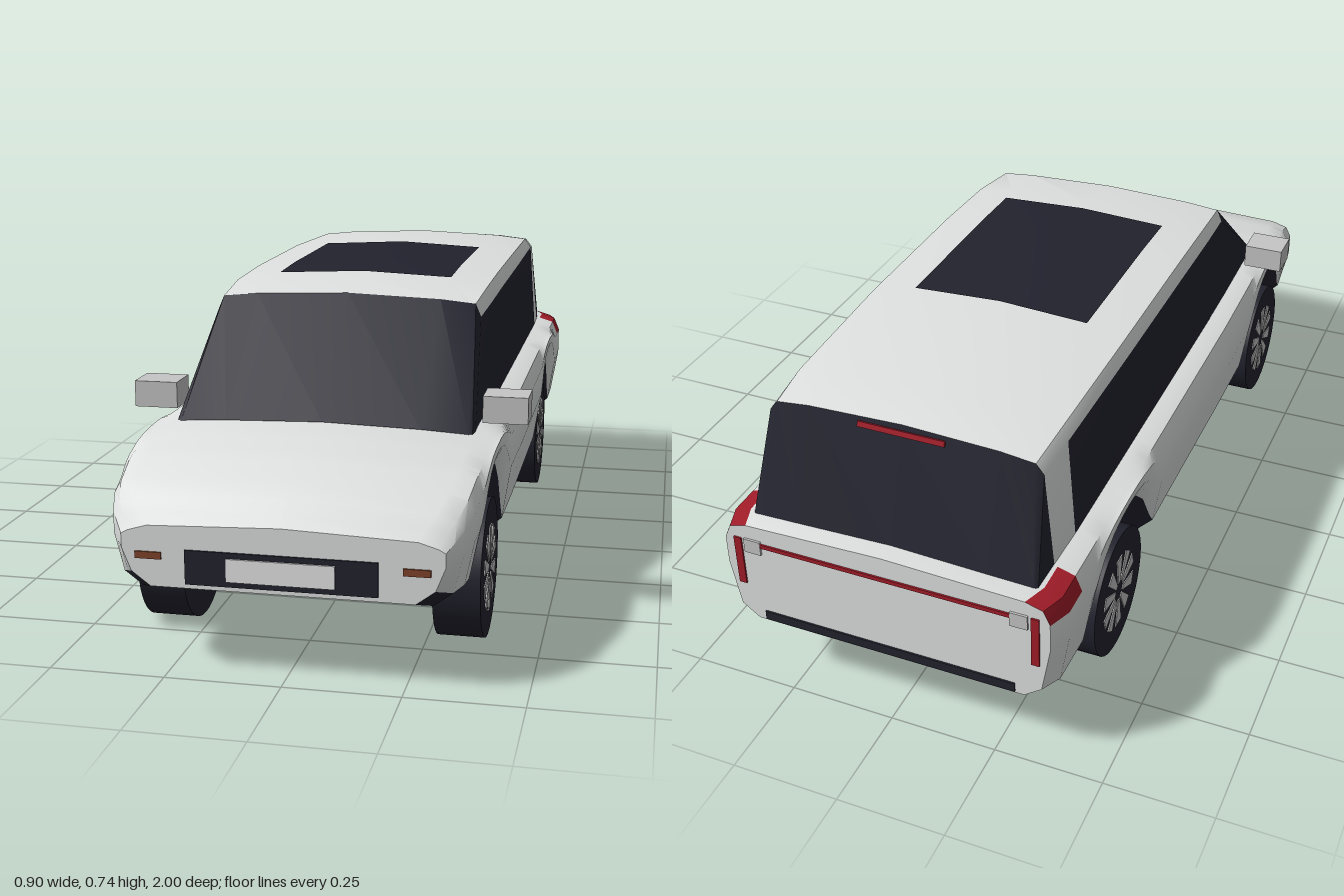
import * as THREE from 'three';
import { toCreasedNormals } from 'three/addons/utils/BufferGeometryUtils.js';

const make = (name, color) => {
  const m = new THREE.MeshStandardMaterial({ color });
  m.name = name;
  return m;
};

// Piecewise linear lookup; table rows are [key, value] with falling keys, clamped at the ends
function lookup(table, k) {
  if (k >= table[0][0]) return table[0][1];
  for (let i = 1; i < table.length; i++) {
    const [k0, v0] = table[i - 1], [k1, v1] = table[i];
    if (k >= k1) return v1 + (v0 - v1) * (k - k1) / (k0 - k1);
  }
  return table[table.length - 1][1];
}

// Mirrors a right-hand half section [x, y] across x = 0
const mirrored = (half, closed) => {
  const rest = half.slice(closed ? 1 : 0, -1).reverse().map(([x, y]) => [-x, y]);
  return [...half, ...rest];
};

// Skins sections running from front to rear; pick(i, j) gives the material index of a quad
function loft(sections, closed, materials, pick, capMaterial = -1) {
  const buckets = materials.map(() => []);
  const n = sections[0].ring.length;
  const at = (i, j) => [...sections[i].ring[j % n], sections[i].z];
  for (let i = 0; i + 1 < sections.length; i++) {
    for (let j = 0; j < (closed ? n : n - 1); j++) {
      const a = at(i, j), b = at(i, j + 1), c = at(i + 1, j + 1), d = at(i + 1, j);
      buckets[pick(i, j)].push(...a, ...d, ...c, ...a, ...c, ...b);
    }
  }
  if (capMaterial >= 0) {
    for (const i of [0, sections.length - 1]) {
      const ys = sections[i].ring.map((p) => p[1]);
      const mid = [0, (Math.min(...ys) + Math.max(...ys)) / 2, sections[i].z];
      for (let j = 0; j < n; j++) {
        const a = at(i, j), b = at(i, j + 1);
        buckets[capMaterial].push(...mid, ...(i === 0 ? [...a, ...b] : [...b, ...a]));
      }
    }
  }
  const geo = new THREE.BufferGeometry();
  geo.setAttribute('position', new THREE.Float32BufferAttribute(buckets.flat(), 3));
  let start = 0;
  buckets.forEach((b, k) => {
    if (b.length) geo.addGroup(start, b.length / 3, k);
    start += b.length / 3;
  });
  return new THREE.Mesh(toCreasedNormals(geo, 0.6), materials);
}

export function createModel() {
  const paint = make('body paint', 0xdfe1e1);
  const dark = make('dark glass and trim', 0x22222e);
  const red = make('tail light red', 0xa01c28);
  const amber = make('indicator amber', 0x7f4429);
  const silver = make('silver', 0xc6c6c6);
  const white = make('plate white', 0xe8e8e8);

  const car = new THREE.Group();
  car.name = 'car';
  const add = (mesh, name, parent = car) => {
    mesh.name = name;
    parent.add(mesh);
    return mesh;
  };
  const box = (name, mat, w, h, d, x, y, z) => {
    const m = add(new THREE.Mesh(new THREE.BoxGeometry(w, h, d), mat), name);
    m.position.set(x, y, z);
    return m;
  };

  // Lower body: width, shoulder height and underside all vary along z
  const axles = [0.63, -0.58];
  const widths = [[0.99, 0.335], [0.95, 0.365], [0.9, 0.38], [0.8, 0.39], [0.3, 0.4], [-0.94, 0.4], [-0.995, 0.38]];
  const tops = [[0.99, 0.325], [0.95, 0.372], [0.9, 0.4], [0.82, 0.428], [0.7, 0.445], [0.55, 0.453], [0.2, 0.446], [-1, 0.442]];
  const floor = [[0.99, 0.195], [0.95, 0.18], [0.82, 0.18], [0.4, 0.165], [-0.35, 0.165], [-0.8, 0.17], [-0.94, 0.175], [-0.995, 0.185]];
  const archIn = [[0.205, 0.165], [0.15, 0.265], [0.1, 0.325], [0.05, 0.345], [0, 0.35]];
  const archOut = [[0.23, 0.19], [0.2, 0.235], [0.15, 0.315], [0.1, 0.36], [0.05, 0.38], [0, 0.385]];
  const under = (z) => Math.max(lookup(floor, z), ...axles.map((a) => lookup(archIn, Math.abs(z - a))));
  const trim = (z) => Math.max(lookup(floor, z) + 0.03, ...axles.map((a) => lookup(archOut, Math.abs(z - a))));

  const stations = new Set([0.99, 0.97, 0.95, 0.9, 0.2, 0, -0.2, -0.87, -0.94, -0.97, -0.995]);
  for (const a of axles) {
    for (const d of [0, 0.025, 0.05, 0.075, 0.1, 0.125, 0.15, 0.175, 0.2, 0.205, 0.23]) {
      stations.add(+(a + d).toFixed(3)).add(+(a - d).toFixed(3));
    }
  }
  const bodySections = [...stations].sort((a, b) => b - a).map((z) => {
    const w = lookup(widths, z), top = lookup(tops, z), lo = under(z), t = trim(z);
    const half = [[0, lo], [w - 0.06, lo], [w - 0.02, t], [w, t + (top - t) * 0.5], [w, t + (top - t) * 0.8],
      [w - 0.015, top - 0.012], [w - 0.055, top], [0, top + 0.01]];
    return { z, ring: mirrored(half, true) };
  });
  add(loft(bodySections, true, [paint, dark, red], (i, j) => {
    const band = Math.min(j, 13 - j);
    if (band < 2) return 1;
    return bodySections[i].z <= -0.87 && (band === 4 || band === 5) ? 2 : 0;
  }, 0), 'lowerBody');

  // Cabin: half sections hold base, window top, roof corner, roof inner and ridge
  const cabinSections = [
    [0.62, [0.34, 0.43], [0.335, 0.445], [0.325, 0.45], [0.22, 0.456], [0, 0.462]],
    [0.345, [0.34, 0.43], [0.315, 0.66], [0.302, 0.69], [0.22, 0.698], [0, 0.706]],
    [0.2, [0.34, 0.43], [0.323, 0.672], [0.31, 0.706], [0.22, 0.714], [0, 0.723]],
    [0, [0.34, 0.43], [0.326, 0.679], [0.312, 0.712], [0.22, 0.72], [0, 0.731]],
    [-0.4, [0.34, 0.43], [0.326, 0.68], [0.312, 0.712], [0.22, 0.72], [0, 0.731]],
    [-0.755, [0.34, 0.43], [0.322, 0.677], [0.305, 0.702], [0.22, 0.711], [0, 0.72]],
    [-0.865, [0.337, 0.43], [0.315, 0.665], [0.297, 0.688], [0.22, 0.697], [0, 0.705]],
    [-0.95, [0.335, 0.43], [0.33, 0.44], [0.325, 0.442], [0.22, 0.445], [0, 0.448]],
  ].map(([z, ...half]) => ({ z, ring: mirrored(half, false) }));
  add(loft(cabinSections, false, [paint, dark], (i, j) => {
    if (i === 0 || i === 6) return 1; // windscreen and rear window
    return Math.min(j, 7 - j) === 0 && i < 5 ? 1 : 0; // side windows
  }), 'cabin');

  // Sunroof follows the roof ridge
  const sunroof = [[0.15, 0.7155, 0.725], [0, 0.72, 0.731], [-0.375, 0.72, 0.731]].map(([z, edge, ridge]) =>
    ({ z, ring: [[0.215, edge + 0.004], [0, ridge + 0.004], [-0.215, edge + 0.004]] }));
  add(loft(sunroof, false, [dark], () => 0), 'sunroof');

  // Front details
  box('grille', dark, 0.4, 0.073, 0.006, 0, 0.2415, 0.991);
  box('frontPlate', white, 0.226, 0.049, 0.006, 0, 0.2415, 0.995);

  // Rear details
  box('rearLightStrip', red, 0.66, 0.01, 0.006, 0, 0.397, -0.996);
  box('rearTrim', dark, 0.6, 0.022, 0.006, 0, 0.201, -0.996);
  const brake = box('highBrakeLight', red, 0.2, 0.012, 0.006, 0, 0.688, -0.873);
  brake.rotation.x = 0.3;

  for (const s of [1, -1]) {
    box('indicator', amber, 0.056, 0.015, 0.006, s * 0.278, 0.262, 0.991);
    box('mirror', silver, 0.1, 0.06, 0.085, s * 0.4, 0.495, 0.528);
    box('tailLight', red, 0.018, 0.125, 0.006, s * 0.348, 0.343, -0.996);
    box('reversingLight', silver, 0.04, 0.035, 0.008, s * 0.312, 0.39, -0.996);
  }

  // Wheels: dark tyre with ten flared spokes on both faces
  const tyreGeo = new THREE.CylinderGeometry(0.155, 0.155, 0.103, 40).rotateZ(Math.PI / 2);
  const spokeShape = new THREE.Shape([[-0.006, 0.025], [0.006, 0.025], [0.017, 0.096], [-0.017, 0.096]]
    .map(([x, y]) => new THREE.Vector2(x, y)));
  const spokeGeo = new THREE.ExtrudeGeometry(spokeShape, { depth: 0.004, bevelEnabled: false }).rotateY(Math.PI / 2);
  for (const z of axles) {
    for (const s of [1, -1]) {
      const wheel = new THREE.Group();
      wheel.name = z > 0 ? 'frontWheel' : 'rearWheel';
      wheel.position.set(s * 0.3265, 0.155, z);
      add(new THREE.Mesh(tyreGeo, dark), 'tyre', wheel);
      for (const x of [0.05, -0.054]) {
        for (let k = 0; k < 10; k++) {
          const spoke = add(new THREE.Mesh(spokeGeo, silver), 'spoke', wheel);
          spoke.position.x = x;
          spoke.rotation.x = (k * Math.PI) / 5;
        }
      }
      car.add(wheel);
    }
  }
  return car;
}
